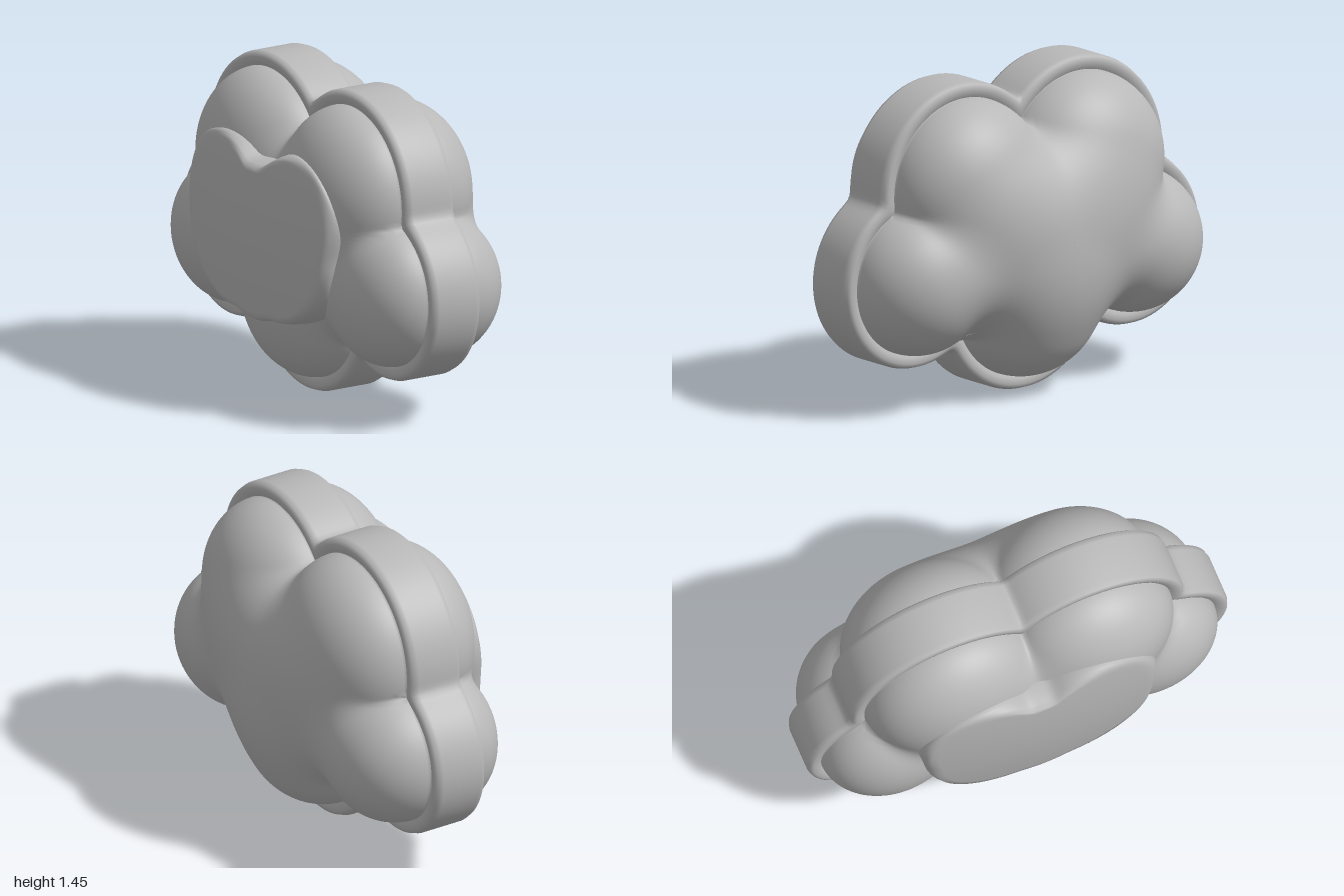
import * as THREE from 'three';

// Lobes of the cloud outline: [z, y, radius]; the last two round off the lower notches
const LOBES = [
  [0.33, 0.97, 0.46], [-0.32, 0.98, 0.475],
  [0.6, 0.585, 0.4], [-0.61, 0.585, 0.39], [0, 0.44, 0.44],
  [0.31, 0.6, 0.37], [-0.31, 0.6, 0.37],
];
const PATCH = [[0.27, 0.87, 0.29], [-0.27, 0.87, 0.29], [0.18, 0.74, 0.36], [-0.18, 0.74, 0.36], [0, 0.72, 0.36]];
const CY = 0.72, SEG = 240, INSET = 0.065;

// Panels: side, base x, height of each lobe, height of the middle swelling, blend sharpness
const LEFT = { side: 1, base: 0.08, lobes: [0.315, 0.315, 0.31, 0.31, 0.335, 0.2, 0.2], mid: 0.385, p: 6 };
const RIGHT = { side: -1, base: -0.14, lobes: [0.285, 0.285, 0.25, 0.25, 0.275, 0.15, 0.15], mid: 0.26, p: 7 };

// Distance from the middle to the outline of the merged circles
function outline(lobes, a, inset = 0) {
  const dz = Math.cos(a), dy = Math.sin(a);
  let sum = 0;
  for (const [z, y, r0] of lobes) {
    const r = r0 - inset, b = -z * dz + (CY - y) * dy;
    const disc = b * b - (z * z + (CY - y) ** 2 - r * r);
    if (disc > 0) sum += Math.max(0, -b + Math.sqrt(disc)) ** 45;
  }
  return sum ** (1 / 45);
}

// Skin over closed rings; each ring maps an angle to [x, y, z]
function loft(rings) {
  const pos = [], idx = [];
  rings.forEach((ring, k) => {
    for (let i = 0; i < SEG; i++) {
      pos.push(...ring((i / SEG) * Math.PI * 2));
      if (k === rings.length - 1) continue;
      const a = k * SEG + i, c = k * SEG + (i + 1) % SEG;
      idx.push(a, a + SEG, c, c, a + SEG, c + SEG);
    }
  });
  const g = new THREE.BufferGeometry();
  g.setAttribute('position', new THREE.Float32BufferAttribute(pos, 3));
  g.setIndex(idx);
  g.computeVertexNormals();
  return g;
}

// Panel surface x: stuffed lobes softly blended with a broad middle swelling
function panelX({ side, base, lobes, mid, p }, z, y) {
  const dome = (q) => Math.sqrt(Math.max(0, 1 - q));
  let sum = (mid * dome((z / 0.72) ** 2 + ((y - CY) / 0.5) ** 2)) ** p;
  LOBES.forEach(([lz, ly, r], i) => {
    sum += (lobes[i] * dome(((z - lz) ** 2 + (y - ly) ** 2) / (r - INSET) ** 2)) ** p;
  });
  return base + side * sum ** (1 / p);
}

// Puffed side panel, from the seam to the middle
function sidePanel(panel) {
  const N = 44, rings = [];
  for (let k = 0; k <= N; k++) {
    const t = Math.max(0.001, Math.cos((k / N) * Math.PI / 2));
    rings.push((a) => {
      const r = t * outline(LOBES, a, INSET);
      const z = r * Math.cos(a), y = CY + r * Math.sin(a);
      return [panelX(panel, z, y), y, z];
    });
  }
  // Tuck the seam edge under the band
  rings.unshift((a) => {
    const r = outline(LOBES, a, 0.04);
    return [panel.base - panel.side * 0.02, CY + r * Math.sin(a), r * Math.cos(a)];
  });
  return loft(panel.side > 0 ? rings : rings.reverse());
}

// Gently domed patch whose rim settles onto the right panel
function patchGeometry() {
  const ring = (t, lift, settle) => (a) => {
    const r = t * outline(PATCH, a);
    const z = r * Math.cos(a), y = CY + r * Math.sin(a);
    const lens = -0.477 + 0.05 * (z / 0.56) ** 2 + 0.03 * ((y - 0.7) / 0.4) ** 2;
    const skin = panelX(RIGHT, z, y) - lift;
    return [settle * skin + (1 - settle) * Math.min(lens, skin), y, z];
  };
  const rings = [];
  for (let k = 0; k <= 16; k++) rings.push(ring(Math.max(0.001, 0.94 * k / 16), 0.01, 0));
  rings.push(ring(0.97, 0.01, 0.3), ring(0.99, 0.01, 0.7), ring(1, 0.006, 1), ring(1, -0.02, 1));
  return loft(rings);
}

export function createModel() {
  const model = new THREE.Group();
  const grey = new THREE.MeshStandardMaterial({ color: 0xb8b8b8 });
  grey.name = 'soft grey';
  const add = (name, geometry) => {
    const mesh = new THREE.Mesh(geometry, grey);
    mesh.name = name;
    model.add(mesh);
  };

  // Edge band: [inset, x] section carried round the outline
  const section = [
    [0.1, -0.12], [0.075, -0.14], [0.05, -0.155], [0.025, -0.16], [0.008, -0.153], [0, -0.13],
    [0, -0.03], [0, 0.06], [0.008, 0.085], [0.025, 0.095], [0.05, 0.09], [0.075, 0.078], [0.1, 0.055],
  ];
  add('edgeBand', loft(section.map(([inset, x]) => (a) => {
    const r = outline(LOBES, a, inset);
    return [x, CY + r * Math.sin(a), r * Math.cos(a)];
  })));

  add('leftPanel', sidePanel(LEFT));
  add('rightPanel', sidePanel(RIGHT));
  add('rightPatch', patchGeometry());
  return model;
}
